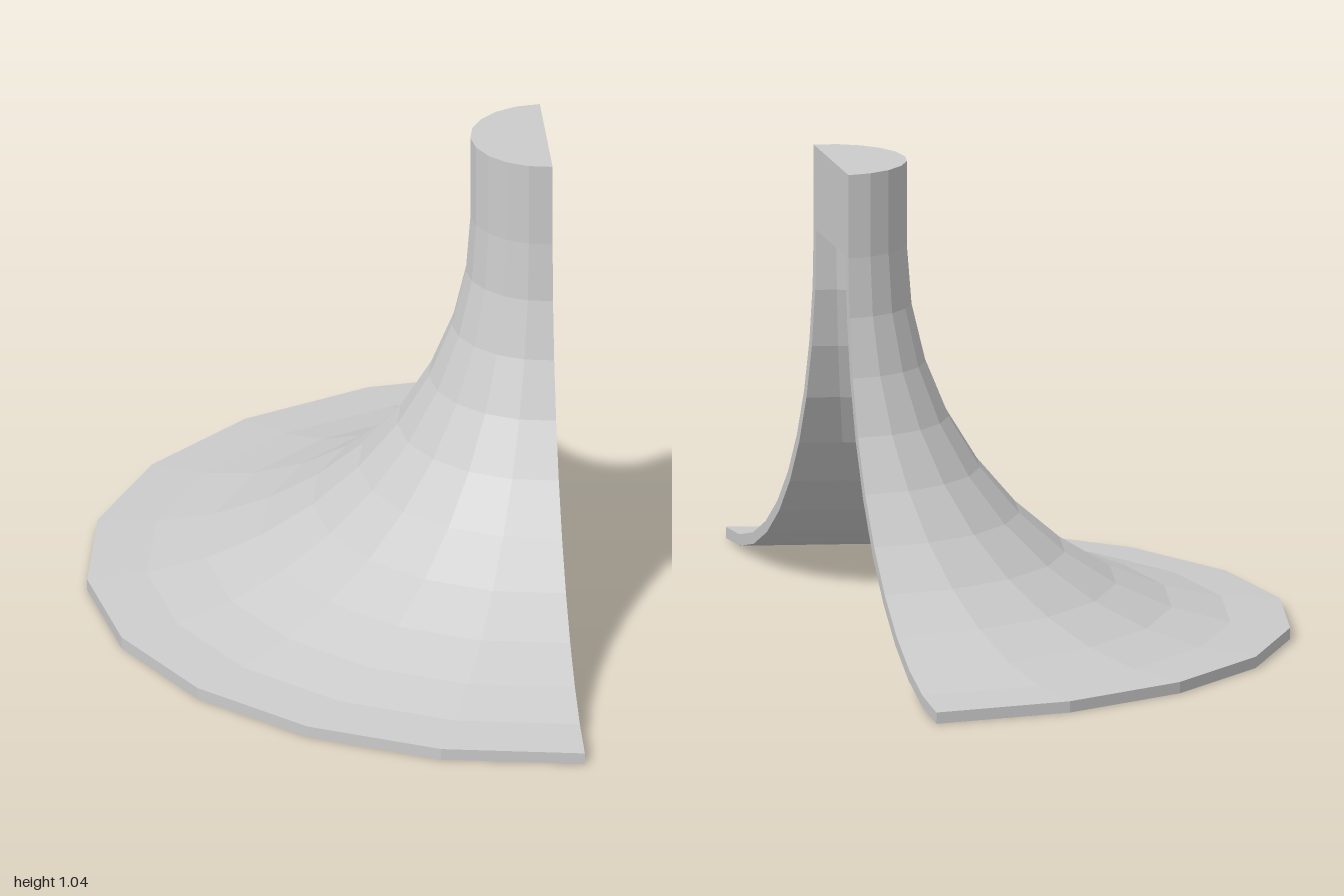
import * as THREE from 'three';

const AXIS_X = 0.5;      // the half-turn axis lies in the cut plane
const SHOULDER_Y = 0.86; // where the flare meets the straight neck
const TOP_Y = 1.045;
const SIDES = 10;
const STEPS = 10;

// Concave quarter arc (radius, height) from the neck down to the rim
function flare(radius) {
  return Array.from({ length: STEPS + 1 }, (_, i) => {
    const a = (i / STEPS) * Math.PI / 2;
    return new THREE.Vector2(1 - radius * Math.cos(a), SHOULDER_Y - radius * Math.sin(a));
  });
}

export function createModel() {
  const group = new THREE.Group();
  group.name = 'halfFlaredHorn';
  const material = new THREE.MeshStandardMaterial({ color: 0xcccccc, flatShading: true });

  // Wall profile: inner ceiling, inner flare down, rim, outer flare up, neck, top
  const inner = flare(SHOULDER_Y);
  const outer = flare(SHOULDER_Y - 0.025).reverse();
  const neckRadius = outer[STEPS].x;
  const profile = [
    new THREE.Vector2(0, SHOULDER_Y), ...inner, ...outer,
    new THREE.Vector2(neckRadius, TOP_Y), new THREE.Vector2(0, TOP_Y),
  ];

  // Half-revolved shell with solid neck
  const shell = new THREE.Mesh(
    new THREE.LatheGeometry(profile, SIDES, Math.PI, Math.PI), material);
  shell.name = 'flaredShell';
  shell.position.x = AXIS_X;
  group.add(shell);

  // Flat cut face closing the wall and the neck
  const half = profile.slice(1, -1);
  const mirrored = half.map(p => new THREE.Vector2(-p.x, p.y)).reverse();
  const face = new THREE.ShapeGeometry(new THREE.Shape([...half, ...mirrored]));
  face.rotateY(Math.PI / 2);
  const cut = new THREE.Mesh(face, material);
  cut.name = 'cutFace';
  cut.position.x = AXIS_X;
  group.add(cut);

  return group;
}
